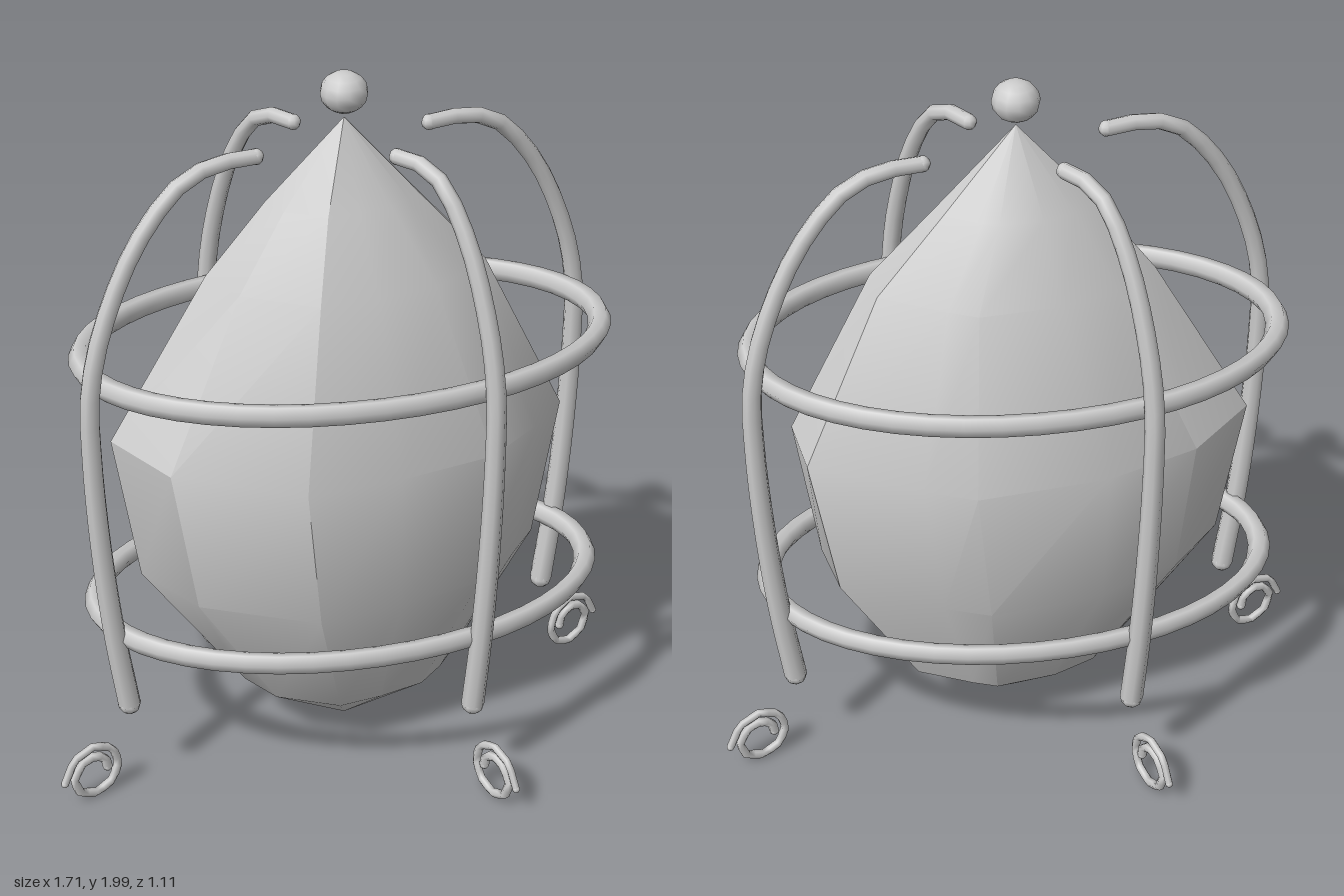
import * as THREE from 'three';
import { toCreasedNormals } from 'three/addons/utils/BufferGeometryUtils.js';

const SQUASH = 0.6; // plan is an ellipse: depth / width

export function createModel() {
  const root = new THREE.Group();
  const grey = new THREE.MeshStandardMaterial({ color: 0xcccccc });
  grey.name = 'pale grey';

  function add(parent, name, geometry) {
    const mesh = new THREE.Mesh(geometry, grey);
    mesh.name = name;
    parent.add(mesh);
    return mesh;
  }

  // Tube whose radius runs from r0 to r1, with round ends
  function rod(parent, name, points, r0, r1, segments, sides, closedCurve) {
    const curve = closedCurve || new THREE.CatmullRomCurve3(points);
    const geo = new THREE.TubeGeometry(curve, segments, 1, sides, false);
    const pos = geo.attributes.position, v = new THREE.Vector3();
    for (let i = 0; i <= segments; i++) {
      const c = curve.getPointAt(i / segments);
      const r = THREE.MathUtils.lerp(r0, r1, i / segments);
      for (let j = 0; j <= sides; j++) {
        const k = i * (sides + 1) + j;
        v.fromBufferAttribute(pos, k).sub(c).multiplyScalar(r).add(c);
        pos.setXYZ(k, v.x, v.y, v.z);
      }
    }
    add(parent, name, geo);
    [[0, r0], [1, r1]].forEach(([t, r]) => {
      add(parent, name + 'End', new THREE.SphereGeometry(r, 8, 6)).position.copy(curve.getPointAt(t));
    });
  }

  // Faceted body: one irregular outline, scaled and twisted at each level
  const outline = [
    [-0.63, -0.046], [-0.452, -0.224], [-0.2, -0.324], [0.15, -0.365],
    [0.283, -0.31], [0.575, -0.16], [0.605, 0.032], [0.498, 0.146],
    [0.338, 0.274], [0.073, 0.333], [-0.183, 0.36], [-0.507, 0.178],
  ];
  // height, scale, x shift, twist
  const levels = [
    [0.025, 0, 0, 0], [0.185, 0.49, 0.02, -0.05], [0.58, 0.9, 0, -0.04],
    [1, 1, 0, 0], [1.46, 0.6, 0.015, 0.05], [1.66, 0.325, 0, 0.05], [1.88, 0, 0, 0],
  ];
  const n = outline.length, verts = [], index = [];
  levels.forEach(([y, s, dx, a], i) => {
    outline.forEach(([x, z], j) => {
      const u = x * s, w = z * s / SQUASH;
      verts.push(u * Math.cos(a) - w * Math.sin(a) + dx, y,
        (u * Math.sin(a) + w * Math.cos(a)) * SQUASH);
      if (i === levels.length - 1) return;
      const p = i * n + j, q = i * n + (j + 1) % n;
      if (i > 0) index.push(p, p + n, q);
      if (i < levels.length - 2) index.push(q, p + n, q + n);
      else if (i === 0) index.push(q, p + n, q + n);
    });
  });
  const body = new THREE.BufferGeometry();
  body.setAttribute('position', new THREE.Float32BufferAttribute(verts, 3));
  body.setIndex(index);
  add(root, 'body', toCreasedNormals(body, 0.5));

  // Ball above the tip
  const ball = add(root, 'topBall', new THREE.SphereGeometry(0.062, 12, 8));
  ball.scale.y = 0.87;
  ball.position.y = 1.946;

  // Two oval hoops
  [['upperHoop', 1.265], ['lowerHoop', 0.515]].forEach(([name, y]) => {
    const hoop = new THREE.TorusGeometry(0.7, 0.032, 6, 48);
    hoop.rotateX(Math.PI / 2);
    hoop.scale(1, 1, SQUASH);
    add(root, name, hoop).position.y = y;
  });

  // Four bars and four curled feet
  const barProfile = [
    [0.26, 1.82], [0.37, 1.82], [0.47, 1.79], [0.6, 1.66], [0.71, 1.45],
    [0.758, 1.27], [0.765, 1.08], [0.755, 0.8], [0.732, 0.53], [0.7, 0.29],
  ];
  const curl = [];
  for (let i = 0; i <= 12; i++) {
    const a = i * Math.PI / 4;
    const r = i < 5 ? 0.098 - i * 0.006 : i < 8 ? 0.074 : 0.07 - (i - 8) * 0.008;
    curl.push(new THREE.Vector3(Math.cos(a) * r, Math.sin(a) * r, 0));
  }
  // Straight pieces keep the curl angular
  const curlPath = new THREE.CurvePath();
  for (let i = 1; i < curl.length; i++) curlPath.add(new THREE.LineCurve3(curl[i - 1], curl[i]));

  for (let k = 0; k < 4; k++) {
    const a = -Math.PI / 8 + k * Math.PI / 2;
    const c = Math.cos(a), s = Math.sin(a);
    const bar = new THREE.Group();
    bar.name = 'cageBar';
    rod(bar, 'bar', barProfile.map(([r, y]) => new THREE.Vector3(r * c, y, r * s * SQUASH)),
      0.021, 0.032, 24, 8);
    root.add(bar);

    const foot = new THREE.Group();
    foot.name = 'curledFoot';
    rod(foot, 'curl', null, 0.011, 0.014, 24, 6, curlPath);
    foot.position.set(0.817 * c, 0.095, 0.817 * s * SQUASH);
    foot.rotation.y = -a;
    root.add(foot);
  }
  return root;
}
